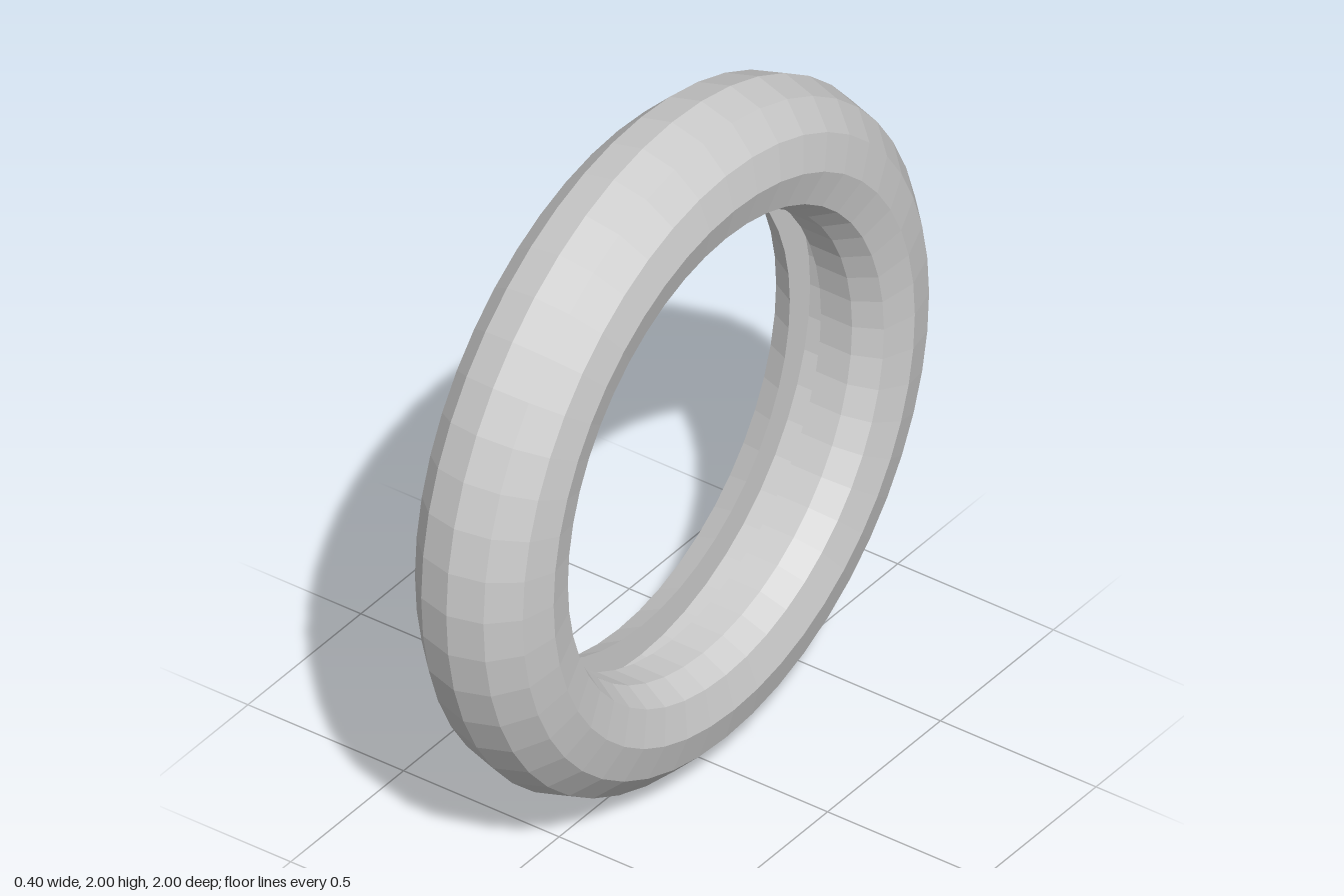
import * as THREE from 'three';

const RING_RADIUS = 0.8;
const TUBE_RADIUS = 0.2;
const SEGMENTS = 48;

export function createModel() {
  const group = new THREE.Group();
  group.name = 'tyre';

  // Rounded outer carcass: a twelve-sided section, left open on the inside
  const profile = [];
  for (let i = -4; i <= 4; i++) {
    const a = (i * Math.PI) / 6;
    profile.push(new THREE.Vector2(
      RING_RADIUS + TUBE_RADIUS * Math.cos(a),
      TUBE_RADIUS * Math.sin(a),
    ));
  }

  // Inner side: flattened bead on one half, recessed rim groove on the other
  const inner = [[0.66, 0.1], [0.66, 0], [0.75, 0], [0.75, -0.1], [0.66, -0.1]];
  inner.forEach(([r, x]) => profile.push(new THREE.Vector2(r, x)));
  profile.push(profile[0].clone());

  // Spin the section, then lay its axis along x
  const geometry = new THREE.LatheGeometry(profile, SEGMENTS);
  geometry.rotateZ(-Math.PI / 2);

  const material = new THREE.MeshStandardMaterial({ color: 0xcccccc, flatShading: true });
  const tyre = new THREE.Mesh(geometry, material);
  tyre.name = 'tyreBody';
  tyre.position.y = RING_RADIUS + TUBE_RADIUS;
  group.add(tyre);
  return group;
}
